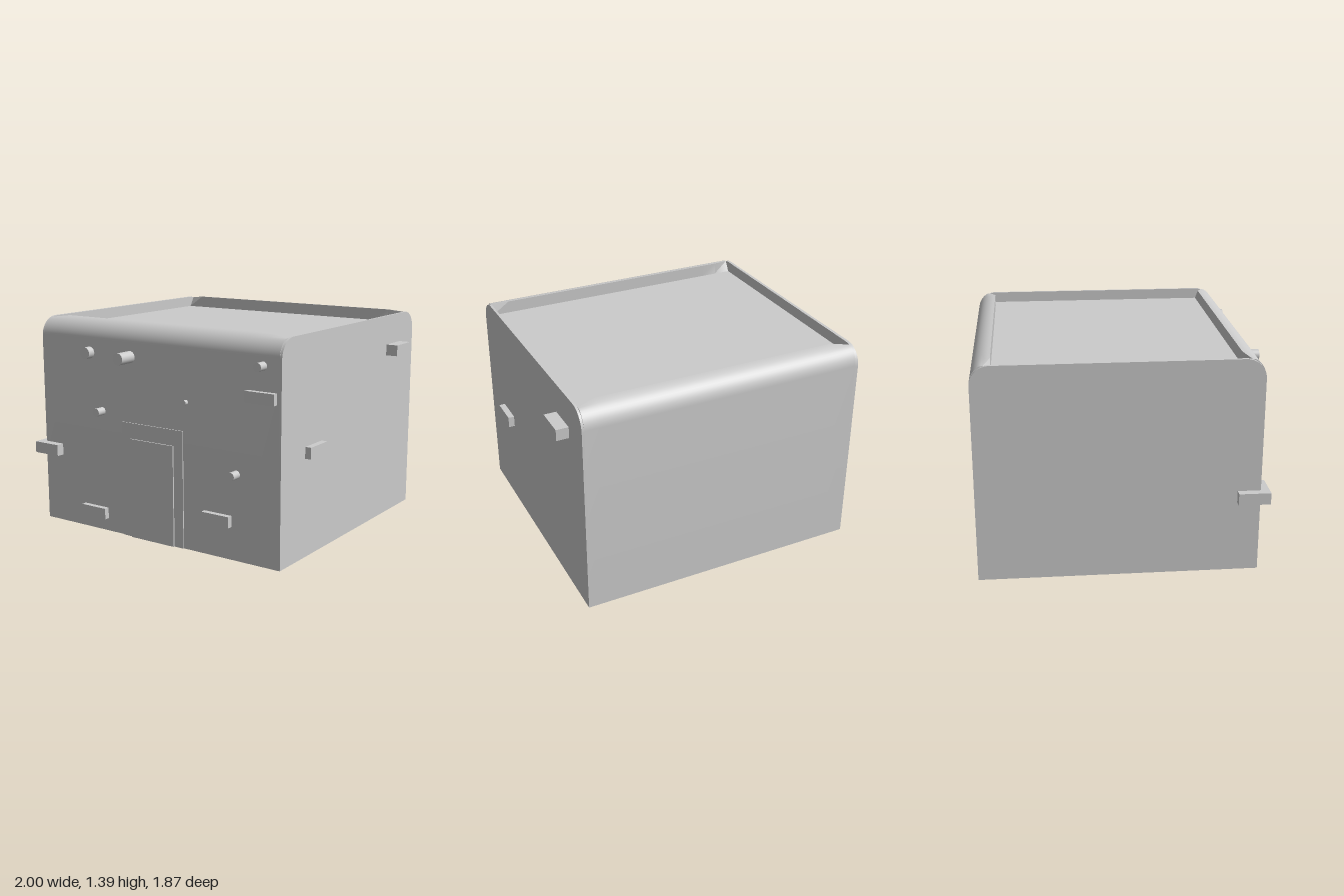
import * as THREE from 'three';
import { toCreasedNormals } from 'three/addons/utils/BufferGeometryUtils.js';

const material = new THREE.MeshStandardMaterial({ color: 0xcccccc });
const FRONT = 0.815, BACK = -0.935, LEFT = 0.915, RIGHT = -0.95;
const RADIUS = 0.125, FLOOR = 1.31, SIDE_TOP = 1.382, RIM_TOP = 1.39;

export function createModel() {
  const group = new THREE.Group();

  function add(name, geometry, x = 0, y = 0, z = 0) {
    const mesh = new THREE.Mesh(geometry, material);
    mesh.name = name;
    mesh.position.set(x, y, z);
    group.add(mesh);
    return mesh;
  }

  // Box given by its lower and upper corners
  function block(name, [x0, y0, z0], [x1, y1, z1]) {
    add(name, new THREE.BoxGeometry(x1 - x0, y1 - y0, z1 - z0),
      (x0 + x1) / 2, (y0 + y1) / 2, (z0 + z1) / 2);
  }

  // Side outline with rounded front and back shoulders; shape x is -z
  function outline(top, recessed) {
    const s = new THREE.Shape();
    s.moveTo(-FRONT, 0);
    s.lineTo(-BACK, 0);
    s.lineTo(-BACK, top - RADIUS);
    s.absarc(-BACK - RADIUS, top - RADIUS, RADIUS, 0, Math.PI / 2, false);
    if (recessed) {
      s.lineTo(-BACK - RADIUS, FLOOR);
      s.lineTo(-FRONT + RADIUS, FLOOR);
      s.lineTo(-FRONT + RADIUS, top);
    }
    s.absarc(-FRONT + RADIUS, top - RADIUS, RADIUS, Math.PI / 2, Math.PI, false);
    return s;
  }

  function slab(shape, x0, x1, steps) {
    const g = new THREE.ExtrudeGeometry(shape,
      { depth: x1 - x0, steps, bevelEnabled: false, curveSegments: 6 });
    g.rotateY(Math.PI / 2);
    g.translate(x0, 0, 0);
    return g;
  }

  // Main body with sunken roof; the rims taper down and outward at the corners
  const inLeft = LEFT - 0.015, inRight = RIGHT + 0.02;
  const body = slab(outline(RIM_TOP, true), inRight, inLeft, 16);
  const p = body.attributes.position;
  const midZ = (FRONT + BACK) / 2;
  for (let i = 0; i < p.count; i++) {
    const atEnd = p.getX(i) < inRight + 0.01 || p.getX(i) > inLeft - 0.01;
    if (!atEnd || p.getY(i) < RIM_TOP - 0.012) continue;
    const dir = Math.sign(p.getZ(i) - midZ);
    const edge = dir > 0 ? FRONT - RADIUS : BACK + RADIUS;
    p.setZ(i, dir > 0 ? Math.max(p.getZ(i), edge + 0.04) : Math.min(p.getZ(i), edge - 0.04));
    p.setY(i, 1.376);
  }
  add('body', toCreasedNormals(body, 0.6));

  // Thin side walls rising above the roof
  const wall = outline(SIDE_TOP, false);
  add('leftWall', toCreasedNormals(slab(wall, inLeft, LEFT, 1), 0.6));
  add('rightWall', toCreasedNormals(slab(wall, RIGHT, inRight, 1), 0.6));

  // Doorway
  block('doorFrame', [-0.27, 0, 0.8], [0.21, 0.757, 0.822]);
  block('door', [-0.2, 0, 0.8], [0.14, 0.655, 0.831]);

  // Round beam ends on the front: x, y, radius, tip z
  const beams = [
    [-0.535, 1.18, 0.038, 0.865], [-0.2, 1.18, 0.038, 0.935],
    [0.79, 1.217, 0.026, 0.88], [0.235, 0.94, 0.016, 0.84],
    [-0.44, 0.805, 0.026, 0.88], [0.605, 0.543, 0.026, 0.88],
  ];
  for (const [x, y, r, tip] of beams) {
    const length = tip - 0.75;
    const g = new THREE.CylinderGeometry(r, r, length, 24);
    g.rotateX(Math.PI / 2);
    add('beamEnd', g, x, y, tip - length / 2);
  }

  // Protruding bricks on the front, corner and left side
  const bricks = [
    [[0.685, 0.998, 0.75], [0.885, 1.067, 0.85]],
    [[0.37, 0.21, 0.75], [0.57, 0.28, 0.85]],
    [[-0.61, 0.085, 0.75], [-0.41, 0.157, 0.85]],
    [[-1.0, 0.462, 0.67], [-0.8, 0.537, 0.87]],
    [[0.8, 1.115, -0.73], [0.995, 1.188, -0.53]],
    [[0.8, 0.627, 0.34], [0.955, 0.7, 0.537]],
  ];
  for (const [lo, hi] of bricks) block('brick', lo, hi);

  return group;
}
